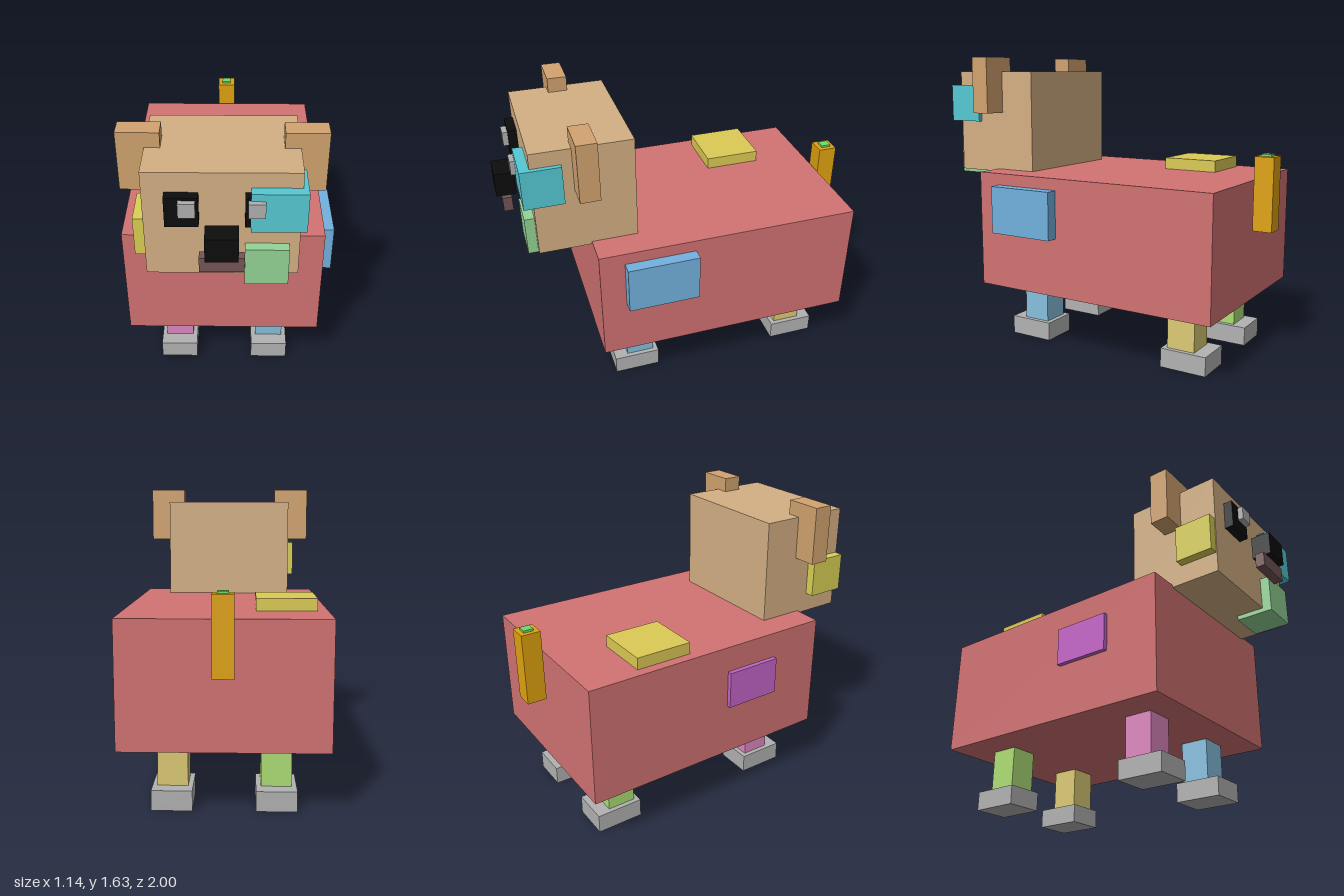
import * as THREE from 'three';

// Centre line of the symmetrical parts
const CX = -0.0225;

export function createModel() {
  const model = new THREE.Group();
  model.name = 'blockDog';

  // Box from its [min, max] extents on each axis
  function box(name, color, [x0, x1], [y0, y1], [z0, z1], parent = model) {
    const mesh = new THREE.Mesh(
      new THREE.BoxGeometry(x1 - x0, y1 - y0, z1 - z0),
      new THREE.MeshStandardMaterial({ color })
    );
    mesh.position.set((x0 + x1) / 2, (y0 + y1) / 2, (z0 + z1) / 2);
    mesh.name = name;
    parent.add(mesh);
    return mesh;
  }
  // Extents of a part at a distance from the centre line
  const across = (side, offset, width) =>
    [CX + side * offset - width / 2, CX + side * offset + width / 2];

  // Body and its patches
  box('body', 0xd27272, [-0.55, 0.505], [0.335, 0.99], [-0.88, 0.565]);
  box('leftBodyPatch', 0x73b1de, [0.44, 0.57], [0.66, 0.925], [0.04, 0.43]);
  box('rightBodyPatch', 0xc565c9, [-0.575, -0.47], [0.635, 0.845], [-0.055, 0.26]);
  box('backPatch', 0xdccb55, [-0.495, -0.18], [0.95, 1.055], [-0.58, -0.265]);

  // Head and its patches
  const head = new THREE.Group();
  head.name = 'headGroup';
  model.add(head);
  box('head', 0xd4b084, [-0.39, 0.345], [0.975, 1.555], [0.315, 0.84], head);
  box('eyePatch', 0x55c9d3, [0.11, 0.37], [1.265, 1.475], [0.685, 0.892], head);
  box('chinPatch', 0x93d496, [0.085, 0.295], [0.95, 1.16], [0.685, 0.892], head);
  box('cheekPatch', 0xdad055, [-0.44, -0.23], [1.085, 1.295], [0.625, 0.835], head);

  // Ears, eyes and eye highlights
  for (const [side, label] of [[1, 'left'], [-1, 'right']]) {
    box(label + 'Ear', 0xd2a36f, across(side, 0.395, 0.208), [1.32, 1.635], [0.525, 0.63], head);
    box(label + 'Eye', 0x0d0d0d, across(side, 0.185, 0.157), [1.29, 1.45], [0.785, 0.888], head);
    box(label + 'EyeHighlight', 0xb0b0b0, across(side, 0.159, 0.079), [1.36, 1.437], [0.84, 0.917], head);
  }

  // Nose and mouth
  box('nose', 0x0d0d0d, [-0.1, 0.055], [1.175, 1.305], [0.895, 1], head);
  box('mouth', 0x755555, [-0.128, 0.083], [1.095, 1.175], [0.923, 0.973], head);

  // Tail
  box('tail', 0xe0a30f, [-0.075, 0.03], [0.725, 1.12], [-1, -0.895]);
  box('tailTip', 0x6fdc6f, [-0.049, 0.004], [1.08, 1.132], [-0.975, -0.922]);

  // Legs and feet
  const legs = [
    ['frontLeft', 1, 0.345, 0x88bfde],
    ['frontRight', -1, 0.345, 0xde88c0],
    ['backLeft', 1, -0.655, 0xdccb75],
    ['backRight', -1, -0.655, 0xaede75],
  ];
  for (const [label, side, z, color] of legs) {
    box(label + 'Leg', color, across(side, 0.264, 0.157), [0.002, 0.4],
      [z - 0.025 - 0.079, z - 0.025 + 0.079]);
    box(label + 'Foot', 0xb2b2b2, across(side, 0.264, 0.208), [0, 0.105], [z - 0.131, z + 0.131]);
  }
  // Back legs sit centred over their feet
  for (const label of ['backLeftLeg', 'backRightLeg']) {
    model.getObjectByName(label).position.z = -0.63;
  }

  return model;
}
